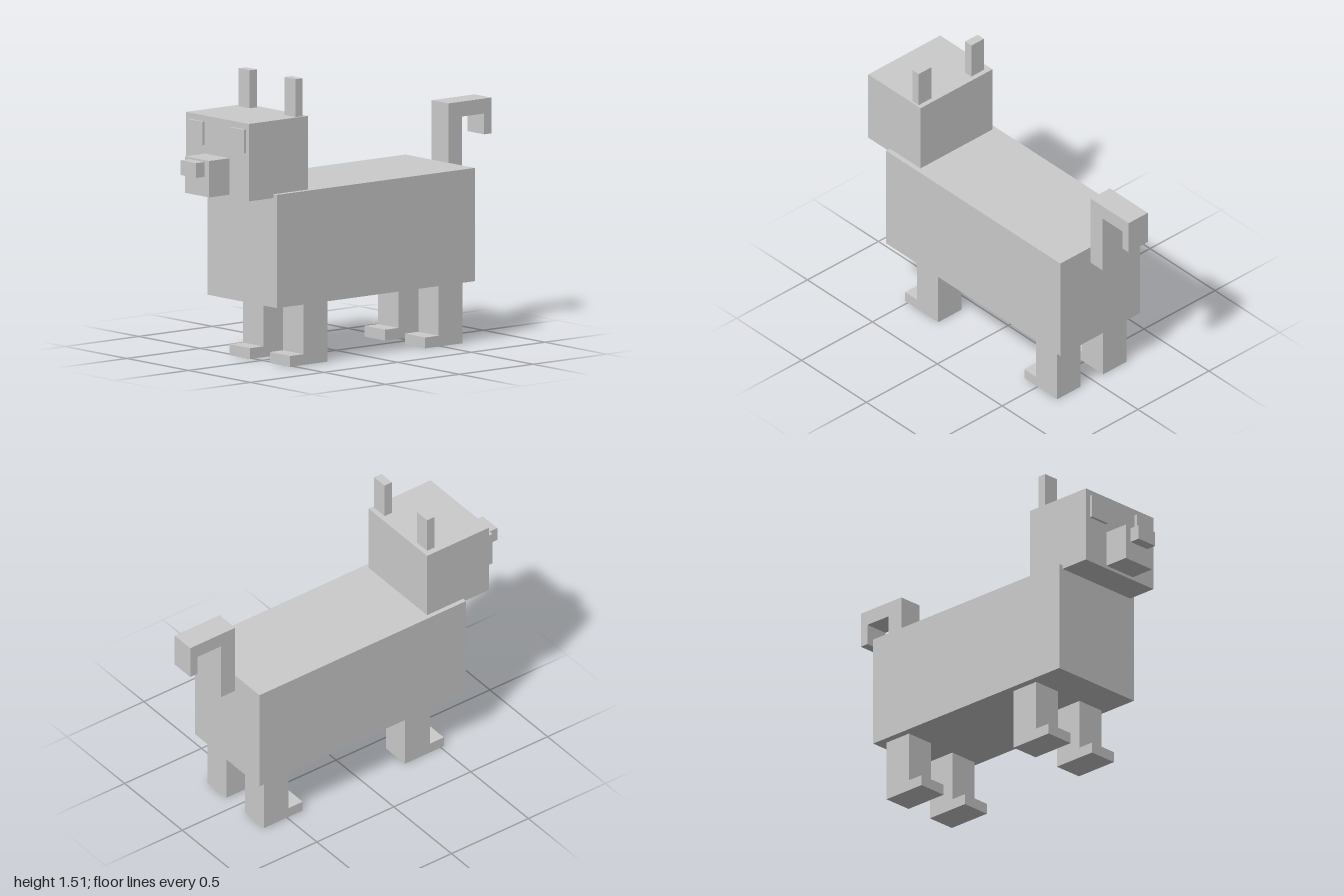
import * as THREE from 'three';

const material = new THREE.MeshStandardMaterial({ color: 0xcccccc, flatShading: true });

export function createModel() {
  const model = new THREE.Group();

  const add = (name, geometry) => {
    const mesh = new THREE.Mesh(geometry, material);
    mesh.name = name;
    model.add(mesh);
    return mesh;
  };

  // Box given by its [min, max] range on each axis
  const box = (name, [x0, x1], [y0, y1], [z0, z1]) =>
    add(name, new THREE.BoxGeometry(x1 - x0, y1 - y0, z1 - z0))
      .position.set((x0 + x1) / 2, (y0 + y1) / 2, (z0 + z1) / 2);

  // Side outline of [z, y] points, extruded across x
  const sideProfile = (name, points, [x0, x1]) => {
    const shape = new THREE.Shape(points.map(([z, y]) => new THREE.Vector2(z, y)));
    const geometry = new THREE.ExtrudeGeometry(shape, { depth: x1 - x0, bevelEnabled: false });
    geometry.rotateY(-Math.PI / 2).translate(x1, 0, 0);
    add(name, geometry);
  };

  // Body and head
  box('body', [-0.28, 0.28], [0.325, 0.922], [-0.708, 0.635]);
  box('head', [-0.255, 0.252], [0.902, 1.31], [0.4, 0.803]);
  box('muzzle', [-0.1, 0.097], [0.918, 1.11], [0.803, 0.942]);
  box('nose', [-0.064, 0.06], [1.022, 1.1], [0.942, 1]);

  // Ears and eyes
  box('rightEar', [-0.22, -0.131], [1.31, 1.51], [0.427, 0.475]);
  box('leftEar', [0.15, 0.24], [1.31, 1.51], [0.427, 0.475]);
  box('rightEye', [-0.225, -0.105], [1.154, 1.278], [0.803, 0.818]);
  box('leftEye', [0.111, 0.231], [1.154, 1.278], [0.803, 0.818]);

  // Legs with feet pointing forward
  for (const [end, back, shin, toe] of [['Front', 0.267, 0.43, 0.52], ['Back', -0.65, -0.488, -0.397]]) {
    for (const [side, range] of [['right', [-0.24, -0.075]], ['left', [0.085, 0.25]]]) {
      sideProfile(`${side}${end}Leg`, [
        [back, 0], [toe, 0], [toe, 0.057], [shin, 0.057], [shin, 0.325], [back, 0.325],
      ], range);
    }
  }

  // Hooked tail
  sideProfile('tail', [
    [-0.708, 0.822], [-0.708, 1.235], [-1, 1.235], [-1, 1.046],
    [-0.952, 1.046], [-0.952, 1.156], [-0.8, 1.156], [-0.8, 0.822],
  ], [-0.069, 0.066]);

  return model;
}
